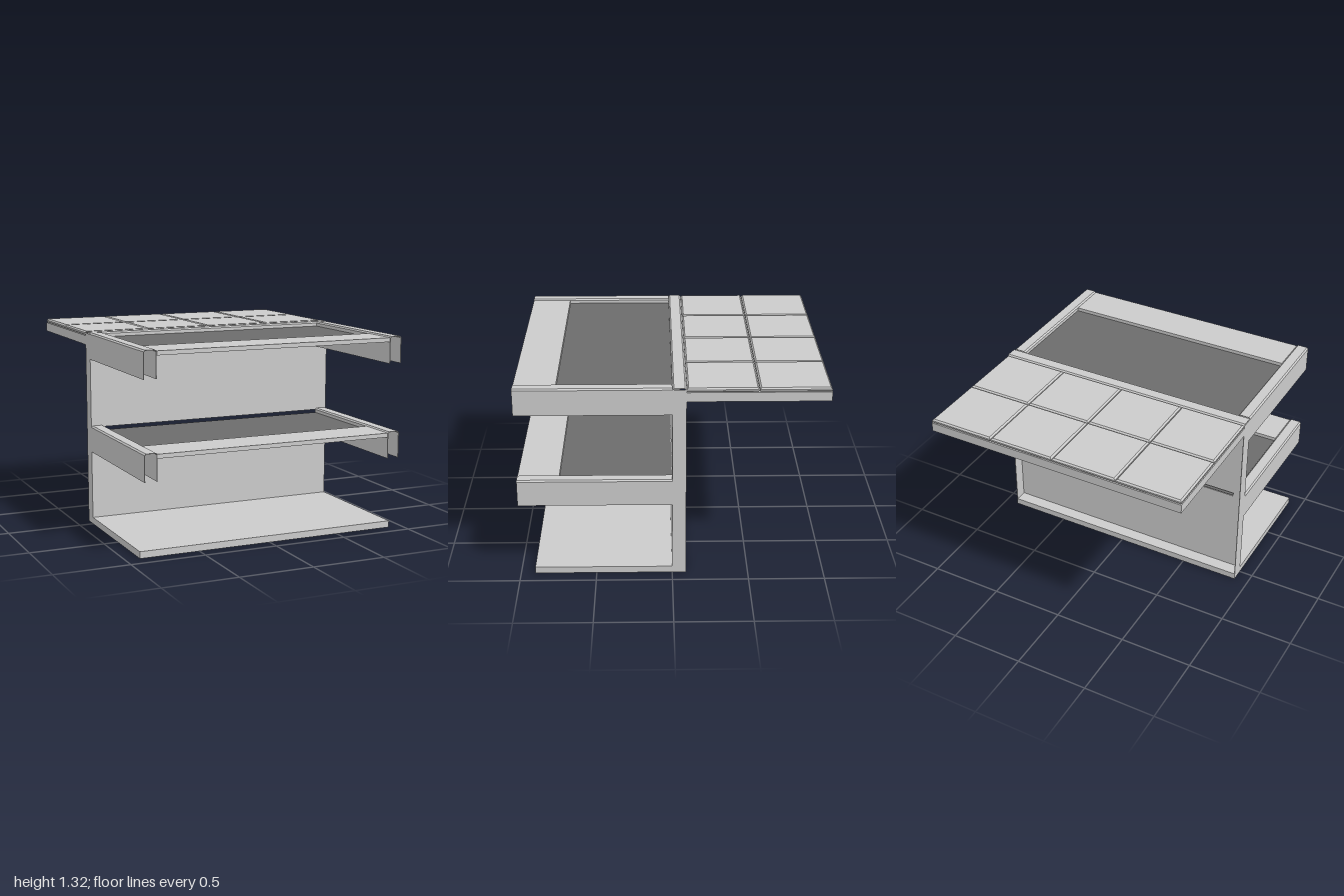
import * as THREE from 'three';

const grey = new THREE.MeshStandardMaterial({ color: 0xcccccc, flatShading: true, side: THREE.DoubleSide });
const dark = new THREE.MeshStandardMaterial({ color: 0x6c6c6c, flatShading: true, side: THREE.DoubleSide });
const T = 0.004;    // sheet thickness
const W = 0.905;    // half width
const TOP = 1.32;
const WALL = 0.09;  // wall depth and rail width

function add(parent, name, geometry, material = grey) {
  const mesh = new THREE.Mesh(geometry, material);
  mesh.name = name;
  parent.add(mesh);
  return mesh;
}

// Box given by its limits on each axis
function block(parent, name, x0, x1, y0, y1, z0, z1, material) {
  const mesh = add(parent, name, new THREE.BoxGeometry(x1 - x0, y1 - y0, z1 - z0), material);
  mesh.position.set((x0 + x1) / 2, (y0 + y1) / 2, (z0 + z1) / 2);
  return mesh;
}

// Hollow slab, open underneath
function tray(parent, name, x0, x1, y0, y1, z0, z1) {
  const g = new THREE.Group();
  g.name = name;
  block(g, 'topSheet', x0, x1, y1 - T, y1, z0, z1);
  for (const x of [x0, x1 - T]) block(g, 'sideRim', x, x + T, y0, y1 - T, z0, z1);
  for (const z of [z0, z1 - T]) block(g, 'endRim', x0 + T, x1 - T, y0, y1 - T, z, z + T);
  parent.add(g);
}

// Upside-down U section with chamfered top edges; top at y = 0, runs along +z
function channel(width, height, length, c = 0.01) {
  const w = width / 2, i = w - T;
  const pts = [[-w, -height], [-i, -height], [-i, -c - T / 2], [-w + c + T / 2, -T], [w - c - T / 2, -T], [i, -c - T / 2],
    [i, -height], [w, -height], [w, -c], [w - c, 0], [-w + c, 0], [-w, -c]];
  const shape = new THREE.Shape(pts.map(p => new THREE.Vector2(...p)));
  return new THREE.ExtrudeGeometry(shape, { depth: length, bevelEnabled: false });
}

function rectangle(x0, x1, y0, y1, Type = THREE.Shape) {
  return new Type([[x0, y0], [x1, y0], [x1, y1], [x0, y1]].map(p => new THREE.Vector2(...p)));
}

// Roof: hollow tray carrying bevelled tiles
function buildRoof() {
  const roof = new THREE.Group();
  roof.name = 'roof';
  tray(roof, 'roofTray', -W, W, 1.23, 1.292, -1, -WALL);
  const tw = W / 2, td = (1 - WALL) / 2, gap = 0.002, b = 0.01;
  const geo = new THREE.ExtrudeGeometry(rectangle(-tw / 2 + gap, tw / 2 - gap, -td / 2 + gap, td / 2 - gap),
    { depth: 0.01, bevelThickness: b, bevelSize: b, bevelOffset: -b, bevelSegments: 1 });
  geo.rotateX(-Math.PI / 2);
  for (let i = 0; i < 4; i++) for (let j = 0; j < 2; j++) {
    add(roof, 'roofTile', geo).position.set(-W + tw * (i + 0.5), TOP - 0.02, -1 + td * (j + 0.5));
  }
  return roof;
}

// Wall: front sheet with a slot, open at the back, with side rims and a top cap
function buildWall() {
  const wall = new THREE.Group();
  wall.name = 'wall';
  const sheet = rectangle(-W, W, 0.045, TOP - 0.015);
  sheet.holes.push(rectangle(-0.82, 0.82, 0.65, 0.675, THREE.Path));
  add(wall, 'wallSheet', new THREE.ExtrudeGeometry(sheet, { depth: T, bevelEnabled: false })).position.z = -T;
  for (const x of [-W, W - T]) block(wall, 'wallRim', x, x + T, 0.04, TOP - 0.01, -WALL, -T);
  const cap = add(wall, 'wallCap', channel(WALL, 0.03, 2 * W));
  cap.rotation.y = Math.PI / 2;
  cap.position.set(-W, TOP, -WALL / 2);
  return wall;
}

// Shelf: two hanging side rails, a front bar and a dark inset panel
function buildShelf(name, top) {
  const shelf = new THREE.Group();
  shelf.name = name;
  const railGeo = channel(0.085, 0.18, 1);
  for (const s of [-1, 1]) add(shelf, 'sideRail', railGeo).position.set(s * (W - 0.0425), top, 0);
  tray(shelf, 'frontBar', -0.818, 0.818, top - 0.036, top - 0.008, 0.73, 1);
  block(shelf, 'darkPanel', -0.82, 0.82, top - 0.036, top - 0.032, 0, 0.73, dark);
  return shelf;
}

export function createModel() {
  const model = new THREE.Group();
  model.name = 'shelfUnit';
  tray(model, 'base', -W, W, 0, 0.045, -WALL, W);
  model.add(buildWall(), buildRoof(), buildShelf('upperShelf', TOP), buildShelf('lowerShelf', 0.685));
  return model;
}
